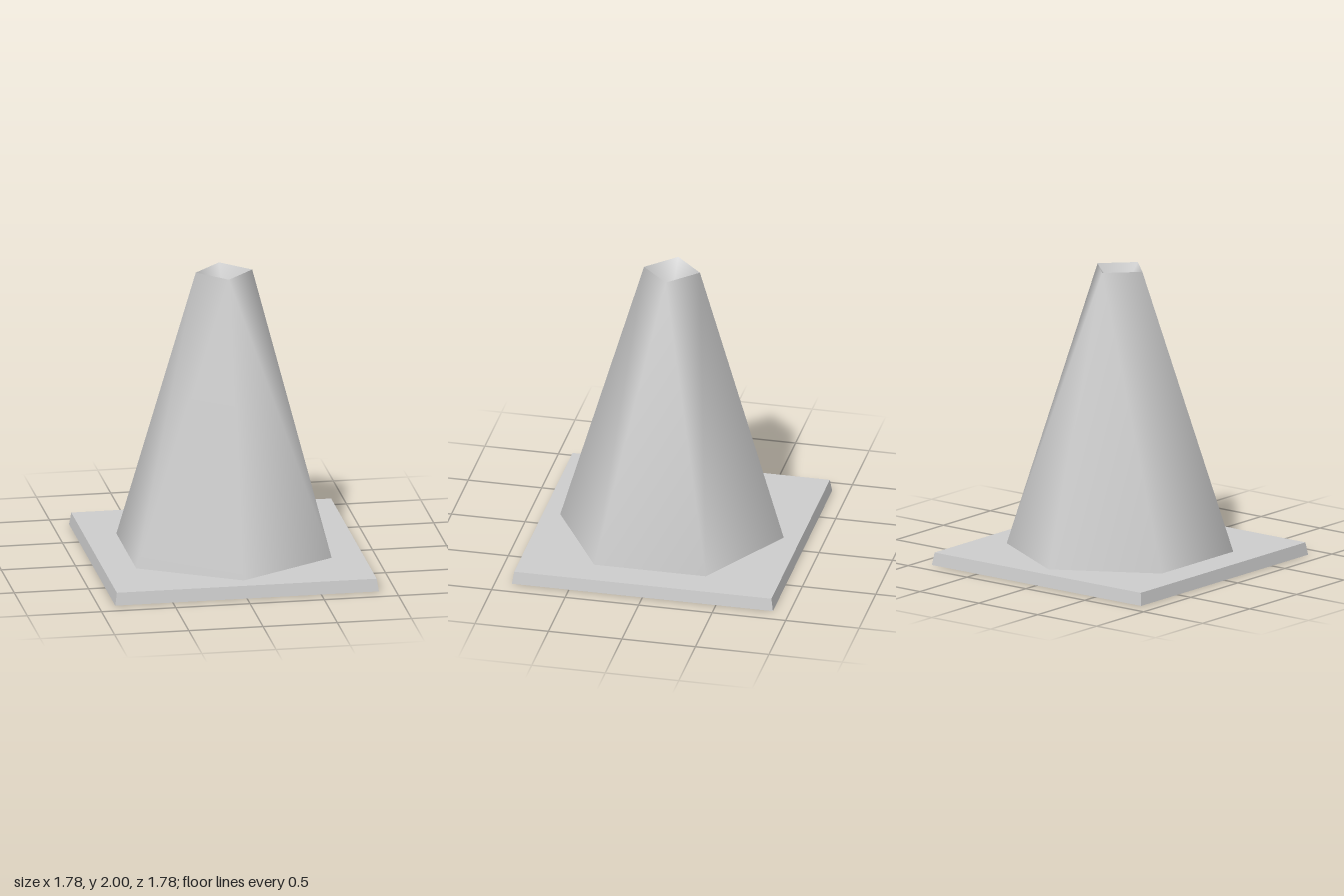
import * as THREE from 'three';

const BASE_H = 0.085;

// Points of a regular ring with the first corner on +z
const ring = (n, r, y) => Array.from({ length: n }, (_, i) => {
  const a = (i / n) * Math.PI * 2;
  return [Math.sin(a) * r, y, Math.cos(a) * r];
});

function smoothGeometry(points, index) {
  const g = new THREE.BufferGeometry();
  g.setAttribute('position', new THREE.Float32BufferAttribute(points.flat(), 3));
  g.setIndex(index);
  g.computeVertexNormals();
  return g;
}

// Wall that blends a six-sided foot into a four-sided rim
function wallGeometry(footR, footY, rimR, rimY, inward) {
  const rimOfFootEdge = [0, 1, 2, 2, 3, 0];
  const footOfRimEdge = [1, 2, 4, 5];
  const index = [];
  const face = (a, b, c) => index.push(...(inward ? [a, c, b] : [a, b, c]));
  rimOfFootEdge.forEach((t, i) => face(i, (i + 1) % 6, 6 + t));
  footOfRimEdge.forEach((b, i) => face(b, 6 + ((i + 1) % 4), 6 + i));
  return smoothGeometry([...ring(6, footR, footY), ...ring(4, rimR, rimY)], index);
}

// Square plate with tapered sides and a six-sided opening
function baseGeometry() {
  const s = 0.888;
  const shape = new THREE.Shape([[-s, -s], [s, -s], [s, s], [-s, s]].map(p => new THREE.Vector2(...p)));
  shape.holes.push(new THREE.Path(ring(6, 0.71, 0).map(([x, , z]) => new THREE.Vector2(x, z))));
  const g = new THREE.ExtrudeGeometry(shape, { depth: BASE_H, bevelEnabled: false });
  g.rotateX(-Math.PI / 2);
  const p = g.attributes.position;
  for (let i = 0; i < p.count; i++) {
    const outer = Math.abs(p.getX(i)) > 0.8;
    if (outer && p.getY(i) > BASE_H / 2) {
      p.setX(i, Math.sign(p.getX(i)) * 0.875);
      p.setZ(i, Math.sign(p.getZ(i)) * 0.875);
    }
  }
  g.computeVertexNormals();
  return g;
}

export function createModel() {
  const group = new THREE.Group();
  const grey = new THREE.MeshStandardMaterial({ color: 0xcccccc });
  grey.name = 'light grey';
  const greyThin = grey;
  greyThin.side = THREE.DoubleSide;

  const add = (name, geometry) => {
    const mesh = new THREE.Mesh(geometry, grey);
    mesh.name = name;
    group.add(mesh);
  };

  add('base', baseGeometry());
  add('coneOuterWall', wallGeometry(0.76, BASE_H, 0.19, 2, false));
  add('coneInnerWall', wallGeometry(0.71, 0, 0.19, 2, true));

  // Recess inside the top rim
  const pit = [];
  for (let i = 0; i < 4; i++) pit.push(i, (i + 1) % 4, 4);
  add('topRecess', smoothGeometry([...ring(4, 0.19, 2), [0, 1.8, 0]], pit));

  return group;
}
